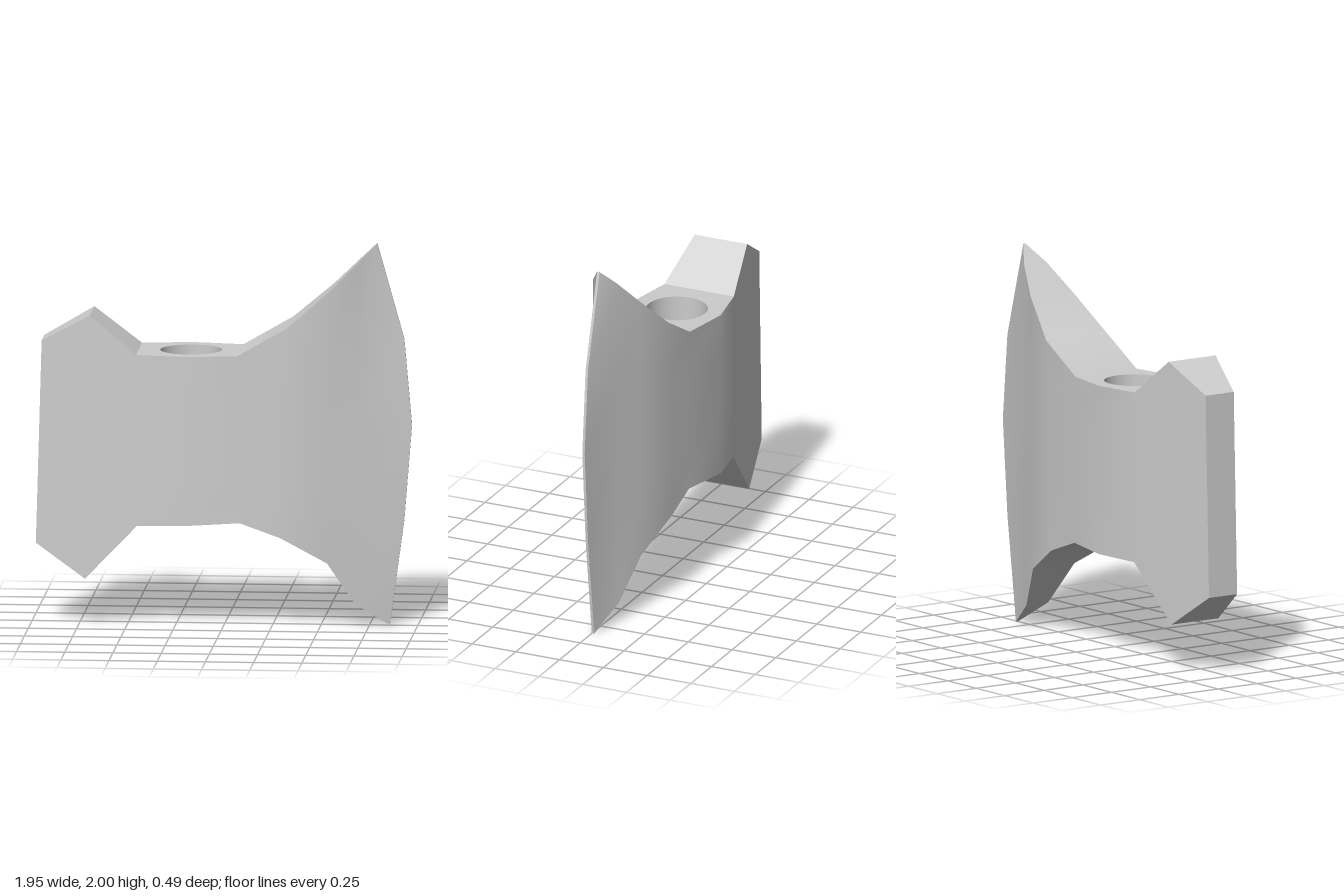
import * as THREE from 'three';
import { mergeGeometries, toCreasedNormals } from 'three/addons/utils/BufferGeometryUtils.js';

// Columns from poll to blade: top x, top y, bottom x, bottom y, half thickness, z centre
const COLUMNS = [
  [-0.945, 1.48, -0.975, 0.42, 0.09, -0.018],
  [-0.69, 1.625, -0.715, 0.245, 0.15, -0.009],
  [-0.445, 1.43, -0.44, 0.535, 0.198, 0],
  [-0.19, 1.43, -0.19, 0.5444, 0.243, 0],
  [0.08, 1.43, 0.09, 0.555, 0.194, 0],
  [0.34, 1.58, 0.30, 0.48, 0.192, 0],
  [0.56, 1.77, 0.54, 0.34, 0.132, 0],
  [0.70, 1.91, 0.68, 0.12, 0.07, -0.002],
];
// Curved cutting edge, bottom to top
const EDGE = [[0.855, 0], [0.93, 0.55], [0.97, 1.05], [0.93, 1.5], [0.79, 2]];
const EYE = { x: -0.175, r: 0.16 };
const ROWS = EDGE.length;
const bottomY = (x) => 0.535 + (x + 0.44) * 0.0377;

// Closed loop of points: up the front, down the back
function loopOf(points, half, centre) {
  const front = points.map(([x, y]) => [x, y, centre + half]);
  const back = points.map(([x, y]) => [x, y, centre - half]).reverse();
  return [...front, ...back];
}

function createSkin() {
  const loops = COLUMNS.map(([tx, ty, bx, by, half, centre]) =>
    loopOf(EDGE.map(([, y]) => {
      const t = y / 2;
      return [bx + (tx - bx) * t, by + (ty - by) * t];
    }), half, centre));
  loops.push(loopOf(EDGE, 0.007, -0.005));

  const pos = [];
  const quad = (a, b, c, d) => pos.push(...a, ...b, ...c, ...a, ...c, ...d);
  const n = ROWS * 2;
  for (let i = 0; i < loops.length - 1; i++) {
    for (let k = 0; k < n; k++) {
      // The strips around the eye are made as pierced plates
      const pierced = (i === 2 || i === 3) && (k === ROWS - 1 || k === n - 1);
      if (pierced) continue;
      const m = (k + 1) % n;
      quad(loops[i][k], loops[i + 1][k], loops[i + 1][m], loops[i][m]);
    }
  }
  // Poll face and cutting edge
  const poll = loops[0], edge = loops[loops.length - 1];
  for (let r = 0; r < ROWS - 1; r++) {
    const b = n - 1 - r;
    quad(edge[r], edge[b], edge[b - 1], edge[r + 1]);
    quad(poll[b], poll[r], poll[r + 1], poll[b - 1]);
  }
  const geo = new THREE.BufferGeometry();
  geo.setAttribute('position', new THREE.Float32BufferAttribute(pos, 3));
  return geo;
}

// Six-sided plate with the round eye cut out
function createPlate(isTop) {
  const cols = COLUMNS.slice(2, 5).map((c) => [c[isTop ? 0 : 2], c[4]]);
  const outline = [
    ...cols.map(([x, h]) => new THREE.Vector2(x, -h)),
    ...cols.reverse().map(([x, h]) => new THREE.Vector2(x, h)),
  ];
  const shape = new THREE.Shape(outline);
  shape.holes.push(new THREE.Path().absarc(EYE.x, 0, EYE.r, 0, Math.PI * 2, true));
  const geo = new THREE.ShapeGeometry(shape, 24).rotateX(-Math.PI / 2);
  const p = geo.attributes.position;
  for (let i = 0; i < p.count; i++) p.setY(i, isTop ? 1.43 : bottomY(p.getX(i)));
  if (!isTop) geo.index.array.reverse();
  const flat = geo.toNonIndexed();
  flat.deleteAttribute('uv');
  flat.deleteAttribute('normal');
  return flat;
}

// Wall of the eye, its lower rim following the sloped underside
function createBore() {
  const geo = new THREE.CylinderGeometry(EYE.r, EYE.r, 1, 48, 1, true);
  const p = geo.attributes.position;
  for (let i = 0; i < p.count; i++) {
    const x = p.getX(i) + EYE.x;
    p.setX(i, x);
    p.setY(i, p.getY(i) > 0 ? 1.43 : bottomY(x));
  }
  return geo;
}

export function createModel() {
  const group = new THREE.Group();
  group.name = 'axeHead';

  const merged = mergeGeometries([createSkin(), createPlate(true), createPlate(false)]);
  const head = new THREE.Mesh(
    toCreasedNormals(merged, 0.6),
    new THREE.MeshStandardMaterial({ color: 0xcccccc }));
  head.name = 'headBody';

  const bore = new THREE.Mesh(
    createBore(),
    new THREE.MeshStandardMaterial({ color: 0xcccccc, side: THREE.DoubleSide }));
  bore.name = 'handleEye';

  group.add(head, bore);
  return group;
}
